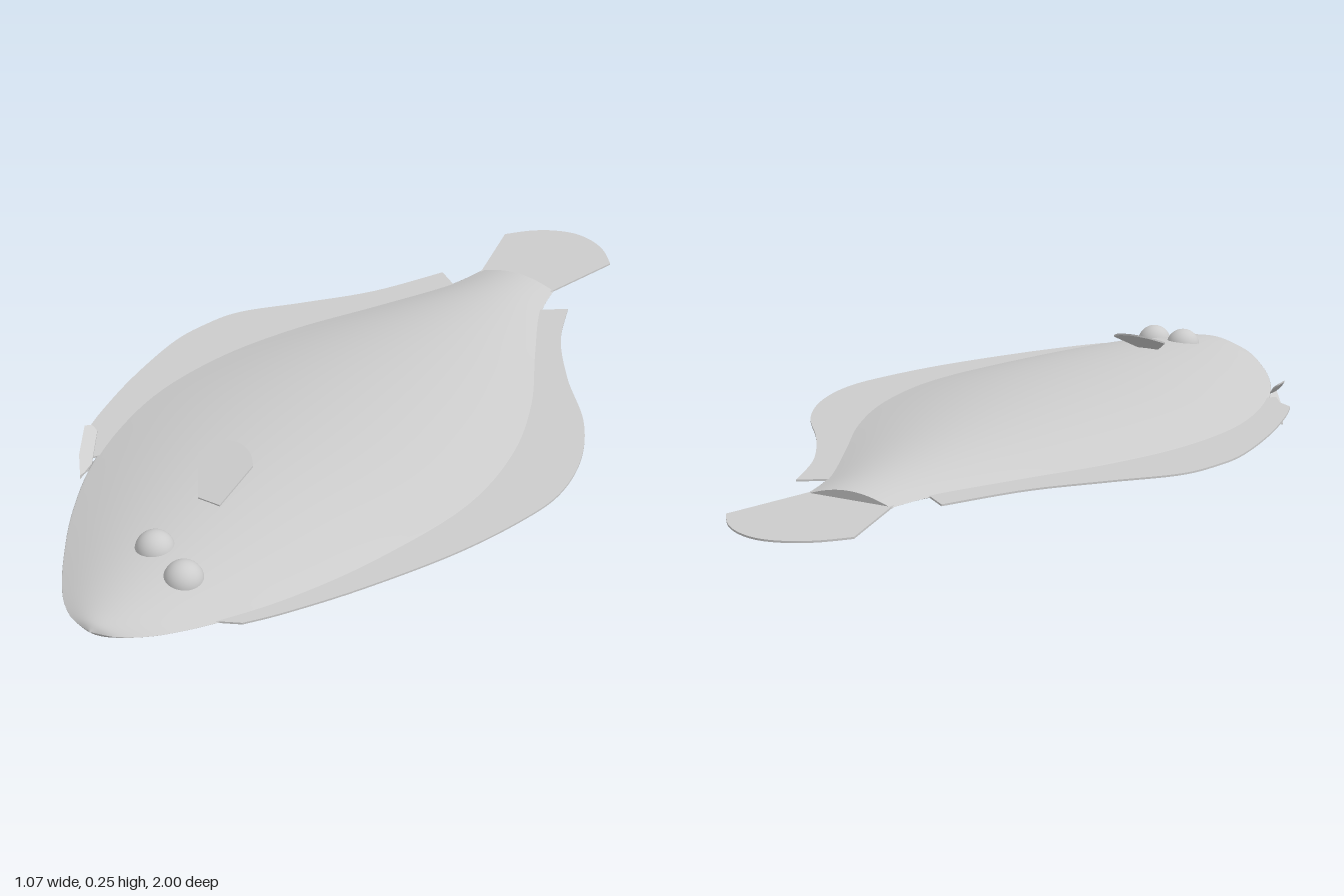
import * as THREE from 'three';

const MID = 0.125; // height of the fish's flat mid plane

// Lens-shaped body lofted from nose to tail; stations are [z, half width, half height]
function bodyGeometry() {
  const stations = [
    [1, 0.001, 0.001], [0.985, 0.055, 0.014], [0.95, 0.105, 0.024], [0.9, 0.15, 0.033],
    [0.83, 0.2, 0.042], [0.7, 0.277, 0.054], [0.5, 0.36, 0.065], [0.23, 0.415, 0.068],
    [0, 0.393, 0.066], [-0.2, 0.325, 0.058], [-0.4, 0.222, 0.044], [-0.6, 0.125, 0.027],
    [-0.7, 0.1, 0.02],
  ];
  const curve = new THREE.CatmullRomCurve3(stations.map((s) => new THREE.Vector3(...s)));
  const rings = 72, sides = 64, pos = [], index = [];
  const addRing = (p) => {
    const cx = -0.015 + 0.025 * THREE.MathUtils.smoothstep(p.x, 0.4, 0.95);
    for (let j = 0; j < sides; j++) {
      const a = (j / sides) * Math.PI * 2, s = Math.abs(Math.sin(a));
      const y = p.z * Math.sign(Math.sin(a)) * (0.92 * s ** 2.3 + 0.08 * s);
      pos.push(cx + p.y * Math.cos(a), MID + y, p.x);
    }
  };
  for (let i = 0; i <= rings; i++) addRing(curve.getPoint(i / rings));
  for (let i = 0; i < rings; i++) {
    for (let j = 0; j < sides; j++) {
      const k = (j + 1) % sides, a = i * sides, b = a + sides;
      index.push(a + j, b + j, b + k, a + j, b + k, a + k);
    }
  }
  // Crisp cap at the tail root
  const cap = pos.length / 3;
  addRing(curve.getPoint(1));
  pos.push(-0.015, MID, -0.7);
  for (let j = 0; j < sides; j++) index.push(cap + sides, cap + ((j + 1) % sides), cap + j);
  const geo = new THREE.BufferGeometry();
  geo.setAttribute('position', new THREE.Float32BufferAttribute(pos, 3));
  geo.setIndex(index);
  geo.computeVertexNormals();
  return geo;
}

// Thin fin from a top outline: a smooth outer edge, then straight root points, all [x, z].
// lift(x, z) gives the height of the sheet.
function finGeometry(edge, root, lift) {
  const shape = new THREE.Shape();
  shape.moveTo(edge[0][0], -edge[0][1]);
  shape.splineThru(edge.slice(1).map(([x, z]) => new THREE.Vector2(x, -z)));
  root.forEach(([x, z]) => shape.lineTo(x, -z));
  shape.closePath();
  const t = 0.004;
  const geo = new THREE.ExtrudeGeometry(shape, { depth: t, bevelEnabled: false, curveSegments: 40 });
  geo.translate(0, 0, -t / 2).rotateX(-Math.PI / 2);
  const p = geo.attributes.position;
  for (let i = 0; i < p.count; i++) p.setY(i, p.getY(i) + lift(p.getX(i), p.getZ(i)));
  geo.computeVertexNormals();
  return geo;
}

export function createModel() {
  const group = new THREE.Group();
  const skin = new THREE.MeshStandardMaterial({ color: 0xcccccc });
  skin.name = 'light grey';
  const add = (name, geo) => {
    const mesh = new THREE.Mesh(geo, skin);
    mesh.name = name;
    group.add(mesh);
    return mesh;
  };
  const flat = () => MID;

  add('body', bodyGeometry());

  // Long fins along both edges of the body
  add('rightEdgeFin', finGeometry(
    [[-0.19, -0.635], [-0.28, -0.46], [-0.39, -0.32], [-0.49, -0.2], [-0.525, -0.1],
      [-0.536, 0.01], [-0.515, 0.19], [-0.48, 0.35], [-0.452, 0.44]],
    [[-0.415, 0.465], [-0.385, 0.51], [-0.3, 0.4], [-0.3, 0], [-0.1, -0.5], [-0.135, -0.595]], flat));
  add('leftEdgeFin', finGeometry(
    [[0.16, -0.635], [0.22, -0.49], [0.32, -0.34], [0.435, -0.2], [0.505, -0.06], [0.533, 0.085],
      [0.515, 0.22], [0.46, 0.4], [0.37, 0.6], [0.29, 0.745], [0.24, 0.82]],
    [[0.18, 0.85], [0.12, 0.8], [0.2, 0.5], [0.2, 0], [0.07, -0.5], [0.105, -0.595]], flat));

  // Fan-shaped tail
  add('tailFin', finGeometry(
    [[-0.165, -0.9], [-0.12, -0.952], [-0.07, -0.985], [-0.015, -0.998], [0.04, -0.985],
      [0.09, -0.952], [0.135, -0.9]],
    [[0.085, -0.7], [0.08, -0.66], [-0.11, -0.66], [-0.115, -0.7]], flat));

  // Small fins, one on each face of the fish
  for (const [side, k] of [['upper', 1], ['lower', -1]]) {
    add(side + 'PectoralFin', finGeometry(
      [[-0.1, 0.495], [-0.075, 0.459], [-0.035, 0.446], [0.005, 0.458], [0.03, 0.482]],
      [[0.018, 0.585], [-0.036, 0.585]],
      (x, z) => MID + k * (0.062 + (0.585 - z) * 0.435)));
    add(side + 'PelvicFin', finGeometry(
      [[-0.42, 0.475], [-0.413, 0.458], [-0.4, 0.458]],
      [[-0.36, 0.53], [-0.352, 0.58], [-0.385, 0.54]],
      (x) => MID + k * (0.004 - (x + 0.36) * 0.77)));
  }

  // Both eyes sit on the upper face
  for (const [name, x, y, z] of [['rightEye', -0.02, 0.163, 0.752], ['leftEye', 0.082, 0.154, 0.795]]) {
    add(name, new THREE.SphereGeometry(0.041, 32, 20)).position.set(x, y, z);
  }
  return group;
}
